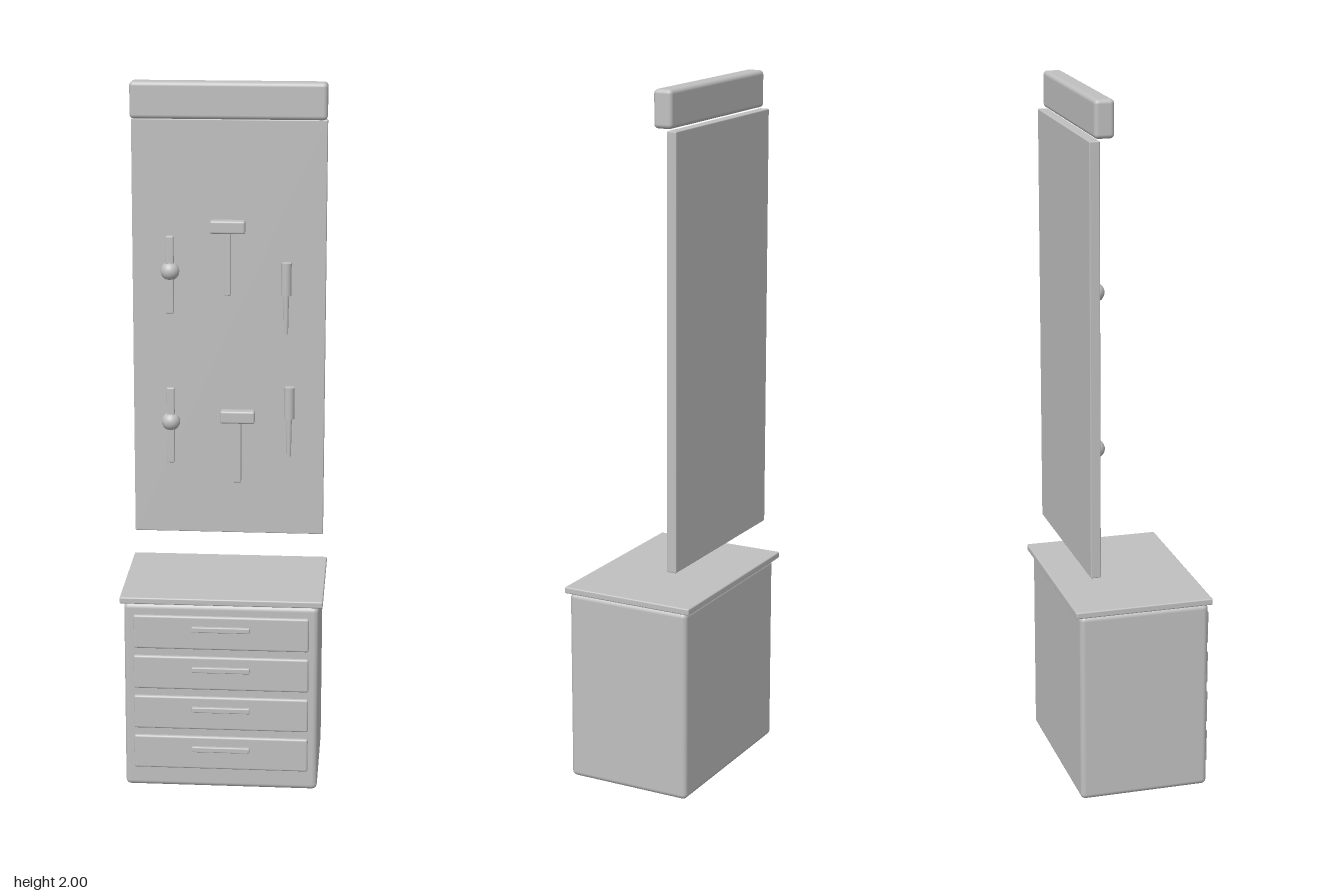
import * as THREE from 'three';
import { RoundedBoxGeometry } from 'three/addons/geometries/RoundedBoxGeometry.js';

export function createModel() {
  const model = new THREE.Group();
  model.name = 'toolStation';
  const grey = new THREE.MeshStandardMaterial({ color: 0xc0c0c0 });
  grey.name = 'grey';

  const add = (name, geometry, parent = model) => {
    const mesh = new THREE.Mesh(geometry, grey);
    mesh.name = name;
    parent.add(mesh);
    return mesh;
  };
  // Rounded box given by its limits on each axis
  const box = (name, [x0, x1], [y0, y1], [z0, z1], radius, parent) => {
    const mesh = add(name, new RoundedBoxGeometry(x1 - x0, y1 - y0, z1 - z0, 3, radius), parent);
    mesh.position.set((x0 + x1) / 2, (y0 + y1) / 2, (z0 + z1) / 2);
    return mesh;
  };
  const group = (name) => {
    const g = new THREE.Group();
    g.name = name;
    model.add(g);
    return g;
  };

  // Cabinet and worktop
  box('cabinet', [-0.277, 0.277], [0, 0.56], [-0.19, 0.185], 0.015);
  box('worktop', [-0.288, 0.288], [0.561, 0.58], [-0.205, 0.193], 0.004);

  // Four drawers with bar handles
  for (let i = 0; i < 4; i++) {
    const y = 0.11 + i * 0.1225;
    const drawer = group('drawer');
    box('drawerFront', [-0.25, 0.25], [y - 0.05, y + 0.05], [0.175, 0.194], 0.006, drawer);
    box('drawerHandle', [-0.083, 0.083], [y + 0.005, y + 0.021], [0.19, 0.203], 0.003, drawer);
  }

  // Wall panel and light box above it
  box('wallPanel', [-0.277, 0.277], [0.674, 1.892], [-0.16, -0.131], 0.003);
  box('lightBox', [-0.277, 0.277], [1.896, 2], [-0.145, -0.09], 0.012);

  // Wrenches: flat bar with a round joint
  for (const [x, y] of [[-0.168, 1.45], [-0.168, 1.005]]) {
    const wrench = group('wrench');
    box('wrenchBar', [x - 0.011, x + 0.011], [y - 0.112, y + 0.112], [-0.122, -0.104], 0.003, wrench);
    add('wrenchJoint', new THREE.SphereGeometry(0.027, 24, 16), wrench).position.set(x, y + 0.01, -0.117);
  }

  // Hammers: head centre x, head top y, grip centre x, grip half width
  for (const [x, y, gripX, half] of [[-0.002, 1.61, -0.002, 0.009], [0.027, 1.054, 0.026, 0.011]]) {
    const hammer = group('hammer');
    box('hammerHead', [x - 0.05, x + 0.05], [y - 0.037, y], [-0.123, -0.09], 0.006, hammer);
    box('hammerGrip', [gripX - half, gripX + half], [y - 0.217, y - 0.03], [-0.123, -0.101], 0.003, hammer);
  }

  // Screwdrivers: round grip with a thin tapered blade
  for (const [x, y] of [[0.165, 1.489], [0.176, 1.125]]) {
    const screwdriver = group('screwdriver');
    add('screwdriverGrip', new THREE.CylinderGeometry(0.015, 0.015, 0.094, 20), screwdriver)
      .position.set(x, y - 0.047, -0.109);
    add('screwdriverBlade', new THREE.CylinderGeometry(0.008, 0.006, 0.115, 16), screwdriver)
      .position.set(x, y - 0.15, -0.112);
  }

  return model;
}
